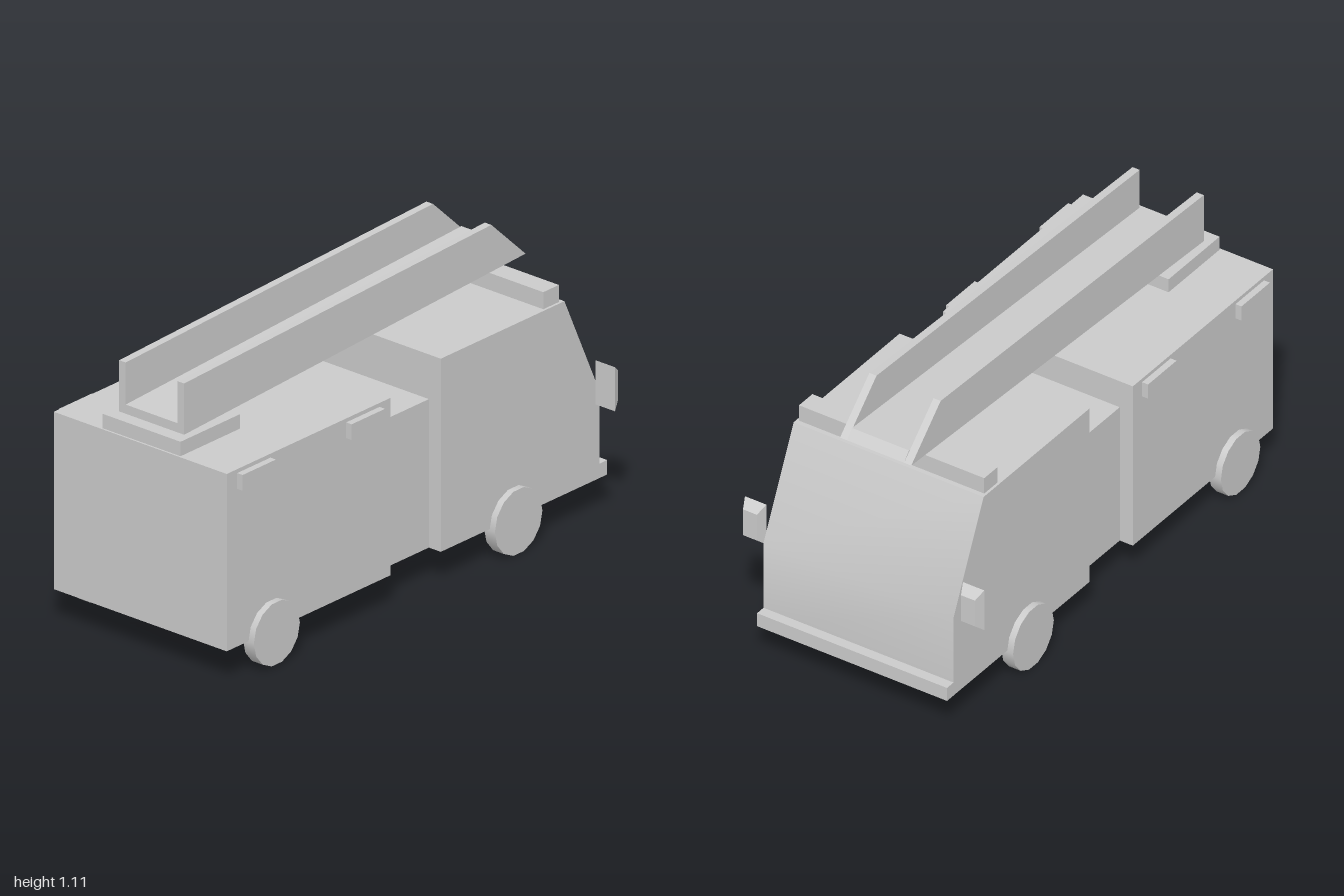
import * as THREE from 'three';
import { toCreasedNormals } from 'three/addons/utils/BufferGeometryUtils.js';

export function createModel() {
  const truck = new THREE.Group();
  truck.name = 'fireTruck';
  const material = new THREE.MeshStandardMaterial({ color: 0xcccccc });

  const add = (name, geometry) => {
    const mesh = new THREE.Mesh(geometry, material);
    mesh.name = name;
    truck.add(mesh);
    return mesh;
  };

  // Box given by its limits on each axis
  const box = (name, [x0, x1], [y0, y1], [z0, z1]) =>
    add(name, new THREE.BoxGeometry(x1 - x0, y1 - y0, z1 - z0))
      .position.set((x0 + x1) / 2, (y0 + y1) / 2, (z0 + z1) / 2);

  // Side profile of [z, y] points, extruded across x
  const profile = (name, points, x0, x1) => {
    const shape = new THREE.Shape(points.map(([z, y]) => new THREE.Vector2(z, y)));
    const geometry = new THREE.ExtrudeGeometry(shape, { depth: x1 - x0, bevelEnabled: false });
    geometry.rotateY(-Math.PI / 2).translate(x1, 0, 0);
    add(name, toCreasedNormals(geometry, 0.6));
  };

  // Body
  box('rearBody', [-0.4, 0.4], [0.13, 0.805], [0.14, 1]);
  box('middleBody', [-0.345, 0.345], [0.13, 0.695], [-0.125, 0.14]);
  profile('cab', [[-0.125, 0.13], [-0.125, 0.865], [-0.775, 0.865], [-0.96, 0.46], [-0.96, 0.13]], -0.4, 0.4);
  box('bumper', [-0.4, 0.4], [0.13, 0.185], [-1, -0.96]);
  box('lightBar', [-0.39, 0.39], [0.865, 0.93], [-0.757, -0.675]);

  // Ladder channel on its turntable
  box('turntable', [-0.18, 0.18], [0.805, 0.86], [0.68, 0.993]);
  profile('ladderFloor', [[0.94, 0.86], [0.94, 0.895], [-0.825, 0.98], [-0.855, 0.945]], -0.12, 0.12);
  const rail = [[0.94, 0.86], [0.94, 1.055], [-0.675, 1.115], [-0.855, 0.945]];

  for (const side of [-1, 1]) {
    const across = (a, b) => (side > 0 ? [a, b] : [-b, -a]);
    const label = side > 0 ? 'left' : 'right';

    profile(label + 'LadderRail', rail, ...across(0.12, 0.15));

    // Side lamps
    for (const [lamp, z] of [['Front', 0.197], ['Rear', 0.77]]) {
      box(label + lamp + 'SideLamp', across(0.4, 0.425), [0.73, 0.79], [z, z + 0.175]);
    }

    // Wheels
    for (const [axle, z, y, r] of [['Front', -0.506, 0.125, 0.125], ['Rear', 0.765, 0.128, 0.121]]) {
      const wheel = new THREE.CylinderGeometry(r, r, 0.05, 14).rotateZ(Math.PI / 2);
      add(label + axle + 'Wheel', wheel).position.set(side * 0.4, y, z);
    }

    // Mirror tapering towards the cab's nose
    const mirror = new THREE.BoxGeometry(0.09, 0.168, 0.035);
    const p = mirror.attributes.position;
    for (let i = 0; i < p.count; i++) {
      if (p.getZ(i) < 0) p.setXY(i, p.getX(i) * 0.65, p.getY(i) * 0.65);
    }
    add(label + 'Mirror', toCreasedNormals(mirror, 0.3)).position.set(side * 0.459, 0.511, -0.94);
  }

  return truck;
}
